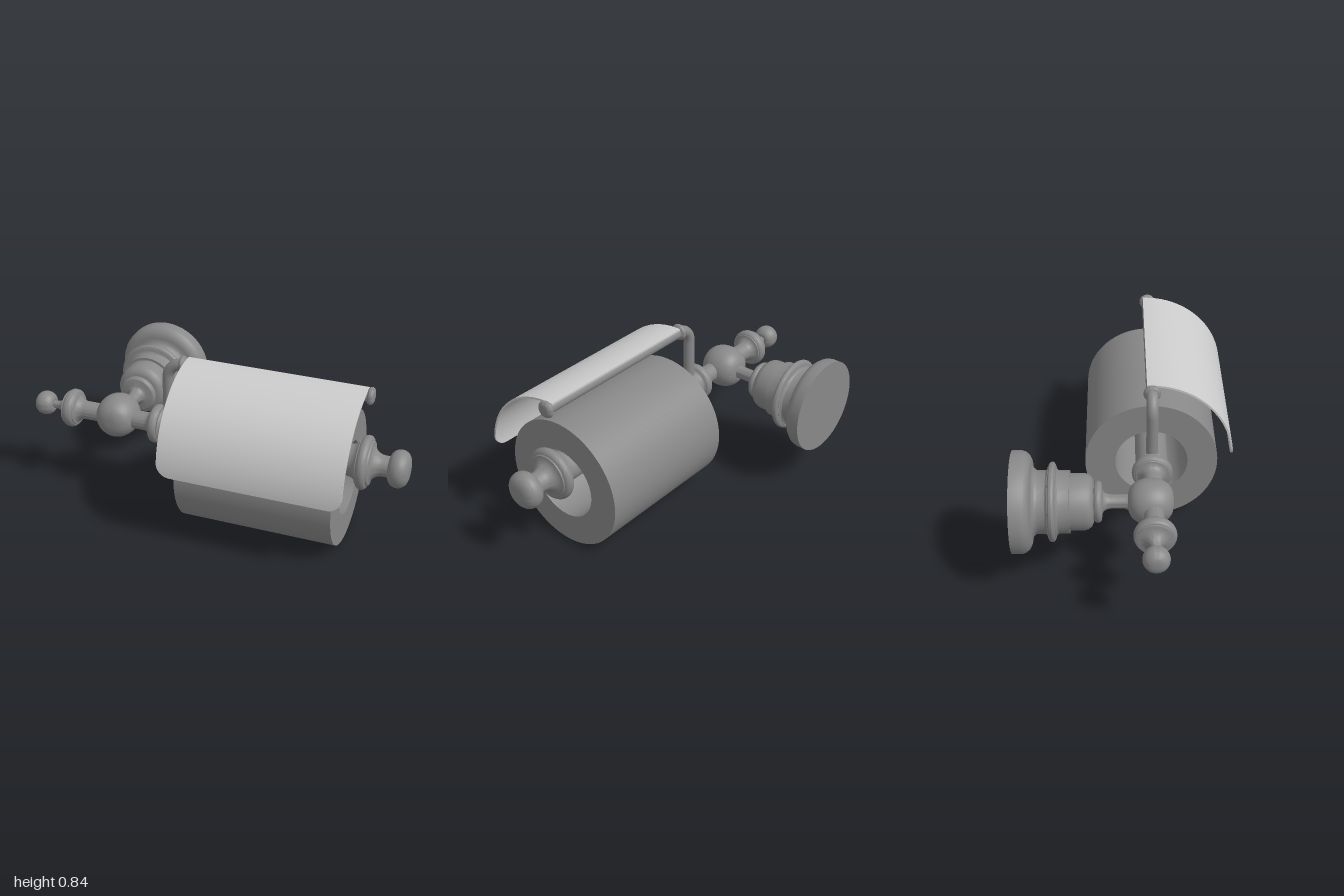
import * as THREE from 'three';
import { toCreasedNormals } from 'three/addons/utils/BufferGeometryUtils.js';

const AXIS_Y = 0.438, AXIS_Z = 0.126, POST_X = -0.535;
const darkGrey = new THREE.MeshStandardMaterial({ color: 0x888888 });
const paleGrey = new THREE.MeshStandardMaterial({ color: 0xdddddd });

// Profile points are [position along axis, radius]
// Rounded bead from a to b, rising from radius r to radius R
function bead(a, b, r, R, n = 12, power = 1) {
  return Array.from({ length: n + 1 }, (_, i) => {
    const t = (i / n) * Math.PI;
    return [(a + b) / 2 - ((b - a) / 2) * Math.cos(t), r + (R - r) * Math.pow(Math.max(0, Math.sin(t)), power)];
  });
}

// Concave quarter curve between two points; it runs along the axis at the smaller radius
function cove(a, ra, b, rb, n = 8) {
  return Array.from({ length: n + 1 }, (_, i) => {
    const t = ((i / n) * Math.PI) / 2;
    return ra < rb
      ? [a + (b - a) * Math.sin(t), ra + (rb - ra) * (1 - Math.cos(t))]
      : [a + (b - a) * (1 - Math.cos(t)), ra + (rb - ra) * Math.sin(t)];
  });
}

function turned(name, profile, axis, segments = 48) {
  const geo = new THREE.LatheGeometry(profile.map(([p, r]) => new THREE.Vector2(r, p)), segments);
  if (axis === 'x') geo.rotateZ(-Math.PI / 2);
  else geo.rotateX(Math.PI / 2);
  const mesh = new THREE.Mesh(toCreasedNormals(geo, 0.7), darkGrey);
  mesh.name = name;
  return mesh;
}

// Thin curved sheet with rounded lower corners
function makeCover() {
  const x0 = -0.14, x1 = 0.77, R = 0.42, corner = 0.07, sweep = 1.62;
  const geo = new THREE.BoxGeometry(1, 1, 0.01, 1, 48, 1);
  const p = geo.attributes.position;
  for (let i = 0; i < p.count; i++) {
    const t = Math.sin(((0.5 - p.getY(i)) * Math.PI) / 2);
    const a = -0.03 + t * sweep;
    const d = Math.min(corner, (1 - t) * sweep * R);
    const half = (x1 - x0) / 2 - corner + Math.sqrt(corner ** 2 - (corner - d) ** 2);
    const r = R + p.getZ(i);
    p.setXYZ(i, (x0 + x1) / 2 + Math.sign(p.getX(i)) * half, 0.409 + r * Math.cos(a), 0.114 + r * Math.sin(a));
  }
  const mesh = new THREE.Mesh(toCreasedNormals(geo, 0.6), paleGrey);
  mesh.name = 'cover';
  return mesh;
}

export function createModel() {
  const model = new THREE.Group();
  model.name = 'paperRollHolder';

  // Horizontal arm with all its turned details
  const arm = new THREE.Group();
  arm.name = 'arm';
  arm.position.set(0, AXIS_Y, AXIS_Z);
  arm.add(
    turned('leftFinial', [
      ...bead(-1, -0.895, 0, 0.063, 20, 0.7).slice(0, -2),
      [-0.9, 0.02],
      ...cove(-0.885, 0.02, -0.82, 0.085),
      ...bead(-0.812, -0.76, 0.085, 0.1),
      ...cove(-0.755, 0.083, -0.71, 0.048),
      [-0.6, 0.048],
    ], 'x'),
    turned('armCollar', [
      [-0.47, 0.048],
      ...cove(-0.37, 0.048, -0.333, 0.083),
      ...bead(-0.33, -0.283, 0.085, 0.1),
      ...cove(-0.278, 0.09, -0.262, 0.08),
    ], 'x'),
    turned('rollBar', [[-0.3, 0], [-0.3, 0.08], [0.715, 0.08]], 'x'),
    turned('rightFinial', [
      ...cove(0.705, 0.08, 0.75, 0.112),
      ...bead(0.755, 0.805, 0.112, 0.135),
      ...cove(0.812, 0.108, 0.875, 0.052),
      [0.897, 0.052],
      ...bead(0.893, 1, 0, 0.094, 20, 0.6).slice(2),
    ], 'x'),
  );
  model.add(arm);

  // Hub where the mount meets the arm, a barrel with rounded ends
  const hub = turned('hub', bead(0.003, 0.222, 0, 0.112, 28, 0.7), 'z');
  hub.position.set(POST_X, AXIS_Y, 0);
  model.add(hub);

  // Wall mount, turned about z
  const mount = turned('wallMount', [
    [-0.54, 0], [-0.54, 0.245], [-0.495, 0.245], [-0.475, 0.239], [-0.458, 0.225], [-0.448, 0.205],
    ...cove(-0.446, 0.19, -0.415, 0.15),
    ...cove(-0.385, 0.15, -0.37, 0.17),
    ...bead(-0.368, -0.334, 0.17, 0.19),
    ...cove(-0.332, 0.17, -0.317, 0.15),
    [-0.268, 0.15], [-0.268, 0.136], [-0.2, 0.136], [-0.18, 0.13], [-0.165, 0.118], [-0.157, 0.1],
    [-0.157, 0.085],
    ...bead(-0.155, -0.118, 0.085, 0.1),
    ...cove(-0.115, 0.06, -0.07, 0.034),
    ...cove(-0.02, 0.034, 0.03, 0.05),
  ], 'z');
  mount.position.set(POST_X, AXIS_Y, 0);
  model.add(mount);

  // Paper roll hanging on the bar
  const roll = turned('paperRoll', [
    [-0.08, 0.185], [-0.08, 0.338], [0.707, 0.338], [0.707, 0.185], [-0.08, 0.185],
  ], 'x', 96);
  roll.position.set(0, 0.338, 0.13);
  model.add(roll);

  // Bent rod that carries the cover
  const rodY = 0.801, bend = 0.085, postX = -0.242;
  const path = new THREE.CurvePath();
  const v = (x, y) => new THREE.Vector3(x, y, AXIS_Z);
  path.add(new THREE.LineCurve3(v(postX, AXIS_Y + 0.03), v(postX, rodY - bend)));
  path.add(new THREE.CubicBezierCurve3(
    v(postX, rodY - bend), v(postX, rodY - bend * 0.45), v(postX + bend * 0.45, rodY), v(postX + bend, rodY)));
  path.add(new THREE.LineCurve3(v(postX + bend, rodY), v(0.78, rodY)));
  const rod = new THREE.Mesh(new THREE.TubeGeometry(path, 120, 0.029, 24), darkGrey);
  rod.name = 'coverRod';
  model.add(rod);

  // Beads at both ends of the cover
  for (const [name, a, b] of [['rodLeftBead', 0.766, 0.802], ['rodRightBead', -0.178, -0.142]]) {
    const cap = turned(name, bead(a, b, 0, 0.043, 16, 0.5), 'x', 32);
    cap.position.set(0, rodY, AXIS_Z);
    model.add(cap);
  }

  model.add(makeCover());
  return model;
}
